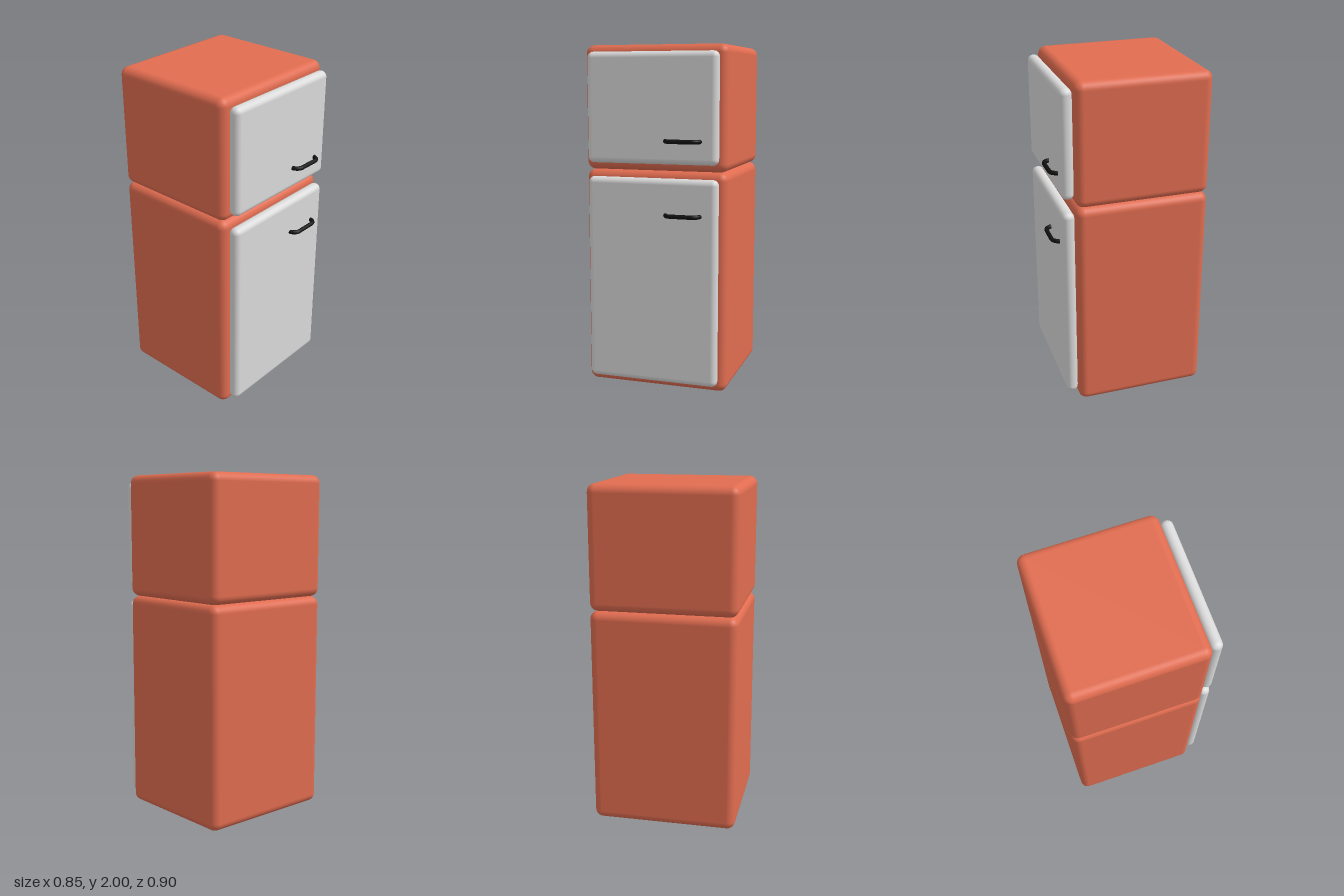
import * as THREE from 'three';
import { RoundedBoxGeometry } from 'three/addons/geometries/RoundedBoxGeometry.js';

const mat = (name, color) => {
  const m = new THREE.MeshStandardMaterial({ color });
  m.name = name;
  return m;
};

// Rounded box given by its extents in y and z, centred on x = 0
function roundedBox(name, width, [y0, y1], [z0, z1], radius, material) {
  const mesh = new THREE.Mesh(new RoundedBoxGeometry(width, y1 - y0, z1 - z0, 4, radius), material);
  mesh.name = name;
  mesh.position.set(0, (y0 + y1) / 2, (z0 + z1) / 2);
  return mesh;
}

// Bow-shaped pull: straight bar with two curved ends running into the door
function handleGeometry() {
  const v = (x, z) => new THREE.Vector3(x, 0, z);
  const path = new THREE.CurvePath();
  path.add(new THREE.QuadraticBezierCurve3(v(-0.103, 0.385), v(-0.096, 0.437), v(-0.055, 0.437)));
  path.add(new THREE.LineCurve3(v(-0.055, 0.437), v(0.055, 0.437)));
  path.add(new THREE.QuadraticBezierCurve3(v(0.055, 0.437), v(0.096, 0.437), v(0.103, 0.385)));
  return new THREE.TubeGeometry(path, 40, 0.0125, 12, false);
}

export function createModel() {
  const fridge = new THREE.Group();
  fridge.name = 'refrigerator';
  const red = mat('red enamel', 0xe06c50);
  const grey = mat('light grey door', 0xdadada);
  const black = mat('black handle', 0x111111);
  const handle = handleGeometry();

  // Each compartment: cabinet, door slab and handle
  const compartments = [
    { name: 'fridge', body: [0, 1.285], door: [0.05, 1.25], handleY: 1.044 },
    { name: 'freezer', body: [1.285, 2], door: [1.33, 1.96], handleY: 1.463 },
  ];
  for (const { name, body, door, handleY } of compartments) {
    const group = new THREE.Group();
    group.name = name + 'Compartment';
    group.add(roundedBox(name + 'Cabinet', 0.854, body, [-0.45, 0.33], 0.048, red));
    group.add(roundedBox(name + 'Door', 0.778, door, [0.33, 0.4], 0.034, grey));
    const pull = new THREE.Mesh(handle, black);
    pull.name = name + 'Handle';
    pull.position.set(0.188, handleY, 0);
    group.add(pull);
    fridge.add(group);
  }
  return fridge;
}
